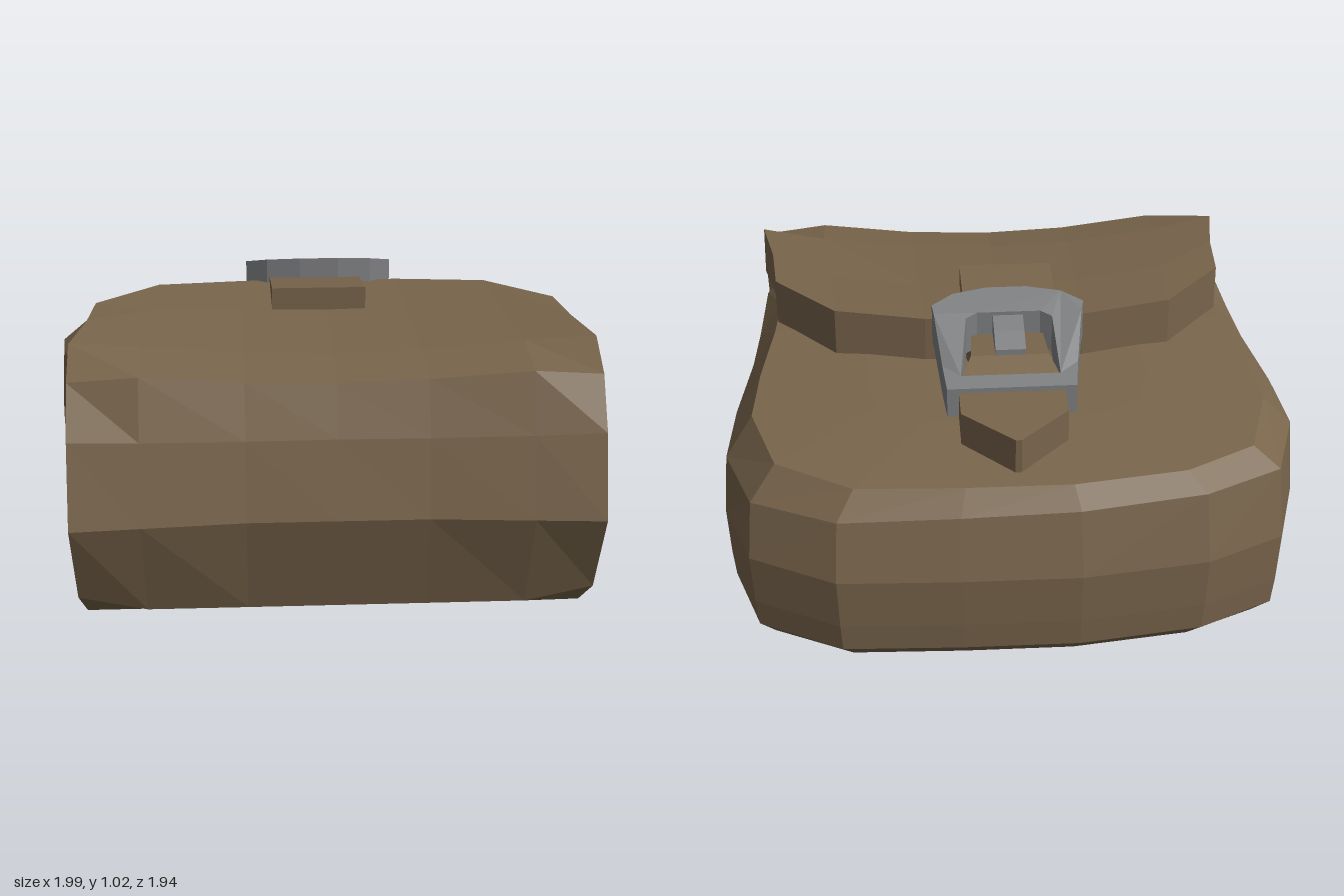
import * as THREE from 'three';

const leather = new THREE.MeshStandardMaterial({ color: 0x78644b });
leather.name = 'brown leather';
const metal = new THREE.MeshStandardMaterial({ color: 0x7e7f81 });
metal.name = 'grey metal';

const { clamp, mapLinear } = THREE.MathUtils;

// Faceted mesh: unshared corners give each face its own normal
function facetedMesh(name, geometry, material) {
  const g = geometry.index ? geometry.toNonIndexed() : geometry;
  g.computeVertexNormals();
  const mesh = new THREE.Mesh(g, material);
  mesh.name = name;
  return mesh;
}

// Joins equal-length rings (counter-clockwise about the sweep) and caps both
// ends with strips pairing corner j with corner n-1-j
function loft(rings) {
  const n = rings[0].length;
  const index = [];
  const quad = (a, b, c, d) => index.push(a, b, c, a, c, d);
  for (let r = 0; r < rings.length - 1; r++) {
    for (let i = 0; i < n; i++) {
      const j = (i + 1) % n;
      quad(r * n + i, r * n + j, (r + 1) * n + j, (r + 1) * n + i);
    }
  }
  const last = (rings.length - 1) * n;
  for (let j = 0; j < n / 2 - 1; j++) {
    quad(n - 1 - j, n - 2 - j, j + 1, j);
    quad(last + j, last + j + 1, last + n - 2 - j, last + n - 1 - j);
  }
  const g = new THREE.BufferGeometry();
  g.setAttribute('position', new THREE.Float32BufferAttribute(rings.flat(2), 3));
  g.setIndex(index);
  return g;
}

// Pouch body: plan outline stacked in levels; the front face bulges into the
// flap while its side corners stay recessed
function makeBody() {
  const sides = [[0.9, 0.3], [0.92, 0.1], [0.97, -0.2], [0.995, -0.47], [0.9, -0.78]];
  const back = [[0.61, -0.95], [0.2, -0.97], [-0.2, -0.975], [-0.63, -0.915]];
  const crease = (z, x) => 0.57 + 0.12 * clamp((z + 0.5) / 1.1, 0, 1) + 0.028 * (1 - x);
  const top = (z) => 0.67 + 0.115 * clamp((z + 0.85) / 1.05, 0, 1);
  // [x scale, front face z, front corner z, back z scale, height rule]
  const levels = [
    [0.93, 0.69, 0.66, 0.87, () => 0.005],
    [0.98, 0.76, 0.71, 0.98, () => 0.1],
    [0.99, 0.8, 0.7, 0.99, () => 0.2],
    [1.0, 0.83, 0.655, 1.0, () => 0.38],
    [0.985, 0.73, 0.59, 0.945, crease],
    [0.89, 0.67, 0.59, 0.88, top],
    [0.5, 0.4, 0.35, 0.55, (z) => top(z) + 0.025],
  ];
  const rings = levels.map(([sx, face, corner, sz, height]) => {
    const right = [[0.35, face], [0.79, face], [0.88, corner],
      ...sides.map(([x, z]) => [x, z > 0 ? Math.min(z, corner) : z * sz])];
    const left = right.map(([x, z]) => [-x, z]).reverse();
    const rear = back.map(([x, z]) => [x, z * sz]);
    return [...right, ...rear, ...left].map(([x, z]) => [x * sx, height(z, x), z]);
  });
  return facetedMesh('body', loft(rings), leather);
}

// Flap: thick C-shaped profile wrapped over the front, sagging in the middle
function makeFlap() {
  const widths = [0.93, 0.95, 1, 1, 1, 1, 0.985, 0.965];
  // x, then outer points as [z, y] from rear edge over the front to the bottom
  const half = [
    [0, [[-0.16, 0.93], [0.16, 0.905], [0.58, 0.865], [0.79, 0.83], [0.855, 0.66], [0.915, 0.4], [0.82, 0.06]]],
    [0.3, [[-0.15, 0.932], [0.17, 0.91], [0.58, 0.875], [0.795, 0.84], [0.86, 0.66], [0.915, 0.4], [0.82, 0.06]]],
    [0.64, [[-0.08, 0.94], [0.22, 0.93], [0.6, 0.91], [0.82, 0.87], [0.885, 0.67], [0.945, 0.4], [0.83, 0.065]]],
    [0.87, [[0.17, 0.942], [0.4, 0.942], [0.65, 0.936], [0.8, 0.85], [0.9, 0.68], [0.965, 0.4], [0.845, 0.12]]],
  ];
  const sections = [...half.slice(1).reverse().map(([x, pts]) => [-x, pts]), ...half];
  const rings = sections.map(([x, pts]) => {
    const outer = [...pts, [0.7, 0.008]];
    const inner = [[pts[0][0], 0.765], [pts[1][0], 0.78], [0.6, 0.782], [0.665, 0.775],
      [0.74, 0.6], [0.81, 0.42], [0.71, 0.2], [0.66, 0.03]];
    const place = ([z, y], i) => [x * widths[i], y, z];
    return [...outer.map(place), ...inner.map(place).reverse()];
  });
  return facetedMesh('flap', loft(rings), leather);
}

// Strap: runs off the flap, through the buckle, to a pointed tip
function makeStrap() {
  // [z, left x, right x, top y, bottom y]
  const stations = [
    [0.165, -0.19, 0.14, 0.985, 0.87],
    [-0.13, -0.19, 0.14, 0.95, 0.8],
    [-0.22, -0.13, 0.12, 0.9, 0.72],
    [-0.36, -0.14, 0.13, 0.89, 0.7],
    [-0.47, -0.18, 0.18, 0.84, 0.69],
    [-0.64, -0.18, 0.18, 0.825, 0.67],
    [-0.79, -0.01, 0.01, 0.805, 0.66],
  ];
  const rings = stations.map(([z, l, r, t, b]) => [[l, t, z], [r, t, z], [r, b, z], [l, b, z]]);
  return facetedMesh('strap', loft(rings), leather);
}

// Buckle: flat frame with a window, bent to follow the slope over the flap edge
function makeBuckle() {
  const path = (pts) => pts.map(([x, z]) => new THREE.Vector2(x, -z));
  const frame = new THREE.Shape(path([
    [-0.22, -0.52], [-0.235, -0.4], [-0.265, -0.22], [-0.275, -0.18], [-0.2, -0.13], [-0.08, -0.105],
    [0.06, -0.105], [0.18, -0.13], [0.255, -0.18], [0.25, -0.22], [0.23, -0.4], [0.22, -0.52],
  ]));
  frame.holes.push(new THREE.Path(path([
    [-0.17, -0.455], [0.17, -0.455], [0.16, -0.4], [0.14, -0.24],
    [0.1, -0.22], [-0.12, -0.22], [-0.16, -0.24], [-0.165, -0.4],
  ])));
  const g = new THREE.ExtrudeGeometry(frame, { depth: 1, bevelEnabled: false });
  g.rotateX(-Math.PI / 2);
  const surface = (z) => {
    if (z > -0.22) return mapLinear(z, -0.22, -0.105, 0.985, 1.025);
    if (z > -0.4) return mapLinear(z, -0.4, -0.22, 0.878, 0.985);
    return mapLinear(z, -0.52, -0.4, 0.852, 0.878);
  };
  const p = g.attributes.position;
  for (let i = 0; i < p.count; i++) {
    const z = p.getZ(i);
    const thickness = mapLinear(z, -0.52, -0.105, 0.105, 0.15);
    p.setY(i, surface(z) + (p.getY(i) - 1) * thickness);
  }
  const buckle = new THREE.Group();
  buckle.name = 'buckle';
  buckle.add(facetedMesh('buckleFrame', g, metal));
  // Pin reaching back from the front bar over the strap
  const pin = [[-0.2, 0.98, 0.88], [-0.29, 0.945, 0.87], [-0.36, 0.91, 0.86]].map(([z, t, b]) =>
    [[-0.06, t, z], [0.045, t, z], [0.045, b, z], [-0.06, b, z]]);
  buckle.add(facetedMesh('bucklePin', loft(pin), metal));
  return buckle;
}

export function createModel() {
  const pouch = new THREE.Group();
  pouch.name = 'beltPouch';
  pouch.add(makeBody(), makeFlap(), makeStrap(), makeBuckle());
  return pouch;
}
